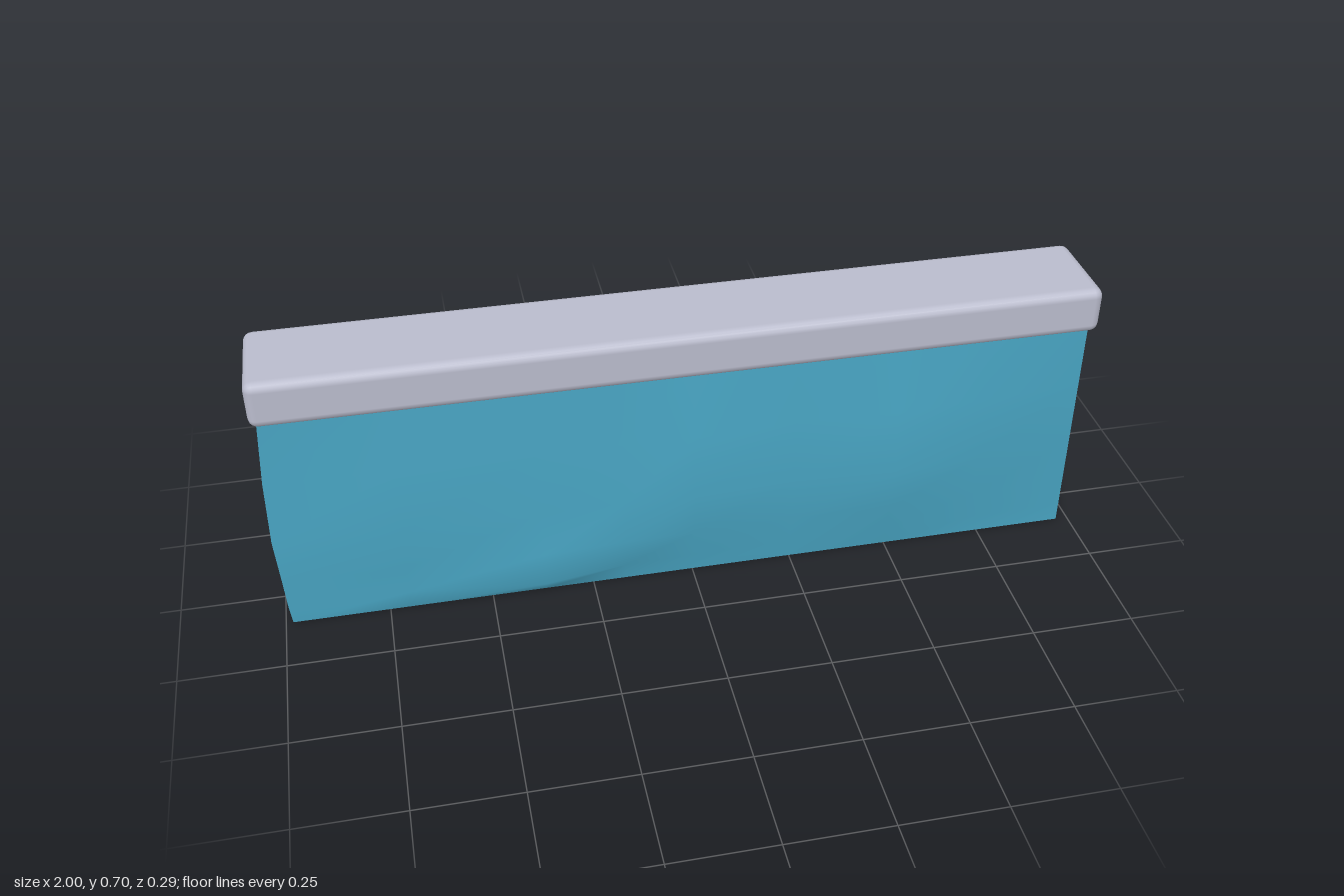
import * as THREE from 'three';
import { toCreasedNormals } from 'three/addons/utils/BufferGeometryUtils.js';
import { RoundedBoxGeometry } from 'three/addons/geometries/RoundedBoxGeometry.js';

// Heights of the wall's cross-sections
const ROWS = [0, 0.05, 0.13, 0.25, 0.42, 0.6];

// Each column: x position, then half thickness at every height
const COLUMNS = [
  [-0.7, 0.1, 0.105, 0.112, 0.125, 0.117, 0.106],
  [-0.37, 0.1, 0.143, 0.13, 0.122, 0.115, 0.105],
  [-0.17, 0.1, 0.112, 0.12, 0.122, 0.116, 0.106],
  [0, 0.1, 0.108, 0.12, 0.141, 0.126, 0.107],
  [0.25, 0.1, 0.105, 0.113, 0.122, 0.115, 0.105],
  [0.5, 0.1, 0.11, 0.124, 0.143, 0.125, 0.107],
  [0.72, 0.1, 0.105, 0.112, 0.121, 0.114, 0.105],
];

// How far the bowed corner of each end reaches at every height
const BOW = [0.983, 0.988, 0.992, 0.999, 0.995, 0.983];

// Closed outline of the wall at one height, running from front to back
function outline(row) {
  const y = ROWS[row];
  const depth = (c) => c[row + 1];
  return [
    [-BOW[row], y, 0.1],
    ...COLUMNS.map((c) => [c[0], y, depth(c)]),
    [0.97, y, 0.1],
    [0.985, y, 0],
    [BOW[row], y, -0.1],
    ...COLUMNS.map((c) => [c[0], y, -depth(c)]).reverse(),
    [-0.97, y, -0.1],
    [-0.985, y, 0],
  ];
}

// Dented wall, joined from the outlines and open underneath
function wallGeometry() {
  const loops = ROWS.map((_, row) => outline(row));
  const n = loops[0].length;
  const index = [];
  for (let r = 0; r < ROWS.length - 1; r++) {
    for (let i = 0; i < n; i++) {
      const a = r * n + i;
      const b = r * n + ((i + 1) % n);
      index.push(a, b, b + n, a, b + n, a + n);
    }
  }
  const geometry = new THREE.BufferGeometry();
  geometry.setAttribute('position', new THREE.Float32BufferAttribute(loops.flat(2), 3));
  geometry.setIndex(index);
  return toCreasedNormals(geometry, 0.9);
}

export function createModel() {
  const teal = new THREE.MeshStandardMaterial({ color: 0x48a4c2, side: THREE.DoubleSide });
  teal.name = 'teal';
  const paleGrey = new THREE.MeshStandardMaterial({ color: 0xbabccd });
  paleGrey.name = 'paleGrey';

  const model = new THREE.Group();
  model.name = 'cappedWall';

  const wall = new THREE.Mesh(wallGeometry(), teal);
  wall.name = 'wall';
  model.add(wall);

  // Rounded coping along the top
  const coping = new THREE.Mesh(new RoundedBoxGeometry(1.99, 0.116, 0.242, 2, 0.022), paleGrey);
  coping.name = 'coping';
  coping.position.set(-0.005, 0.641, 0);
  model.add(coping);

  return model;
}
